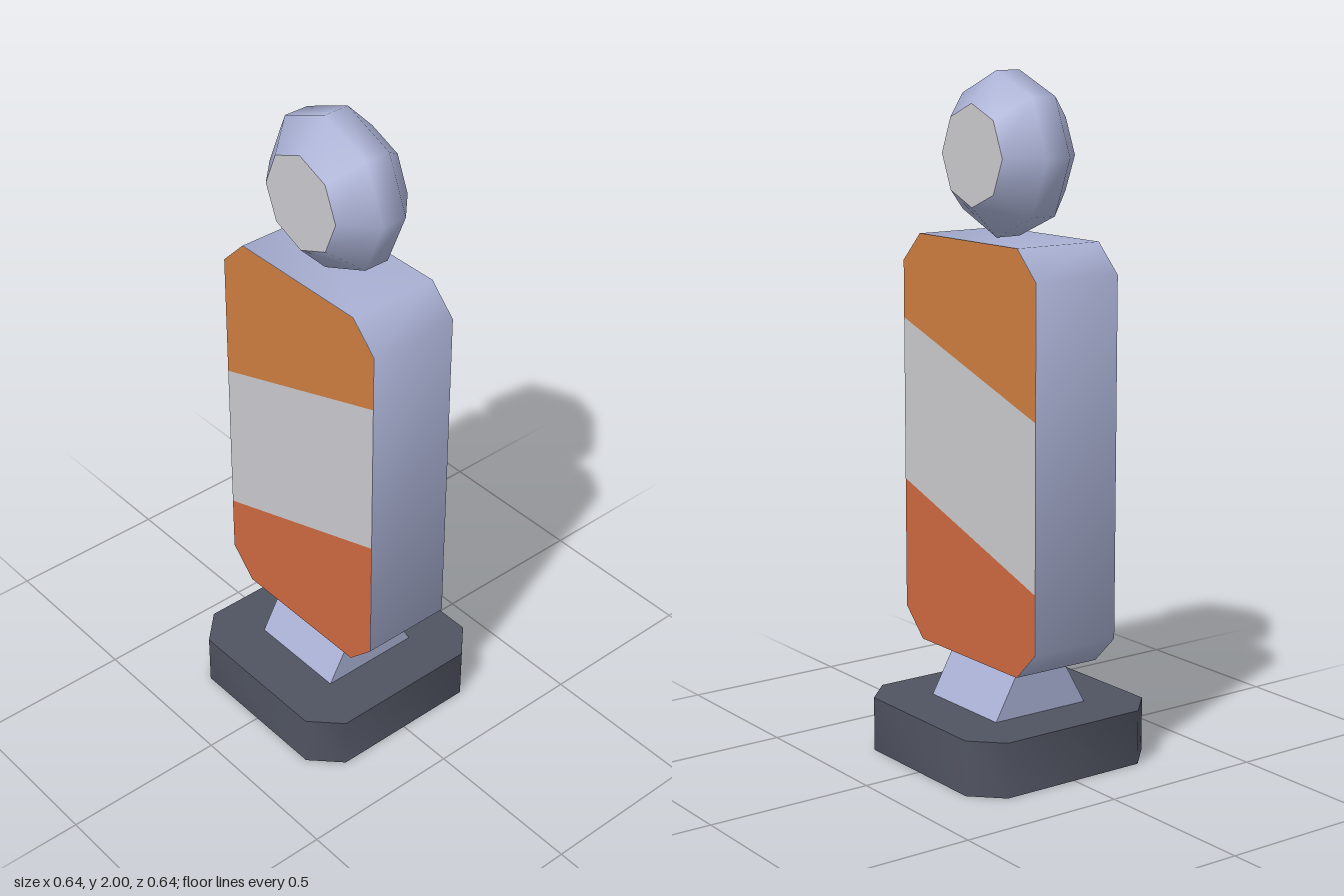
import * as THREE from 'three';
import { toCreasedNormals } from 'three/addons/utils/BufferGeometryUtils.js';

const mat = (name, color) => new THREE.MeshStandardMaterial({ name, color });

const toShape = (pts) => new THREE.Shape(pts.map(([u, v]) => new THREE.Vector2(u, v)));

// Prism centred on its depth, with soft chamfers and sharp end caps
function prism(pts, depth) {
  const g = new THREE.ExtrudeGeometry(toShape(pts), { depth, bevelEnabled: false });
  g.translate(0, 0, -depth / 2);
  return toCreasedNormals(g, Math.PI / 3);
}

// Rectangle with cut corners
function chamferedRect(u, v0, v1, c) {
  return [
    [-u + c, v0], [u - c, v0], [u, v0 + c], [u, v1 - c],
    [u - c, v1], [-u + c, v1], [-u, v1 - c], [-u, v0 + c],
  ];
}

export function createModel() {
  const group = new THREE.Group();
  const lavender = mat('lavender metal', 0xa9b0d3);
  const dark = mat('dark base', 0x505461);
  const amber = mat('amber stripe', 0xcd7d40);
  const white = mat('white', 0xc9c8cc);
  const red = mat('red orange stripe', 0xcd6840);

  const add = (name, geometry, material) => {
    const mesh = new THREE.Mesh(geometry, material);
    mesh.name = name;
    group.add(mesh);
    return mesh;
  };

  // Base slab
  const H = 0.32, C = 0.085;
  add('base', prism(chamferedRect(H, -H, H, C), 0.1625).rotateX(-Math.PI / 2).translate(0, 0.08125, 0), dark);

  // Tapered neck
  add('neck', prism([[-0.16, 0.1625], [0.16, 0.1625], [0.075, 0.3135], [-0.075, 0.3135]], 0.32), lavender);

  // Body panel
  const bottom = 0.3125, top = 1.53;
  add('body', prism(chamferedRect(H, bottom, top, C), 0.284).rotateY(-Math.PI / 2), lavender);

  // Slanted stripes, as [z, y] outlines shared by both sides
  const stripes = [
    ['upperStripe', amber, [[-H, 1.06], [H, 1.275], [H, top - C], [H - C, top], [-H + C, top], [-H, top - C]]],
    ['middleStripe', white, [[-H, 0.573], [H, 0.79], [H, 1.275], [-H, 1.06]]],
    ['lowerStripe', red, [[-H, bottom + C], [-H + C, bottom], [H - C, bottom], [H, bottom + C], [H, 0.79], [-H, 0.573]]],
  ];

  // Lamp: eight-sided drum with bevelled edges
  const lampY = 1.766, R = 0.234, r = 0.145;
  const profile = [[r, -0.126], [R, -0.04], [R, 0.04], [r, 0.126]].map(([a, b]) => new THREE.Vector2(a, b));
  add('lampHousing', new THREE.LatheGeometry(profile, 8).rotateZ(-Math.PI / 2).translate(0, lampY, 0), lavender);

  for (const side of [-1, 1]) {
    const label = side > 0 ? 'Left' : 'Right';
    const turn = side * Math.PI / 2;
    for (const [name, material, pts] of stripes) {
      const shape = toShape(pts.map(([z, y]) => [-side * z, y]));
      add(name + label, new THREE.ShapeGeometry(shape).rotateY(turn).translate(side * 0.1435, 0, 0), material);
    }
    add('lens' + label, new THREE.CircleGeometry(r, 8).rotateY(turn).translate(side * 0.126, lampY, 0), white);
  }

  return group;
}
